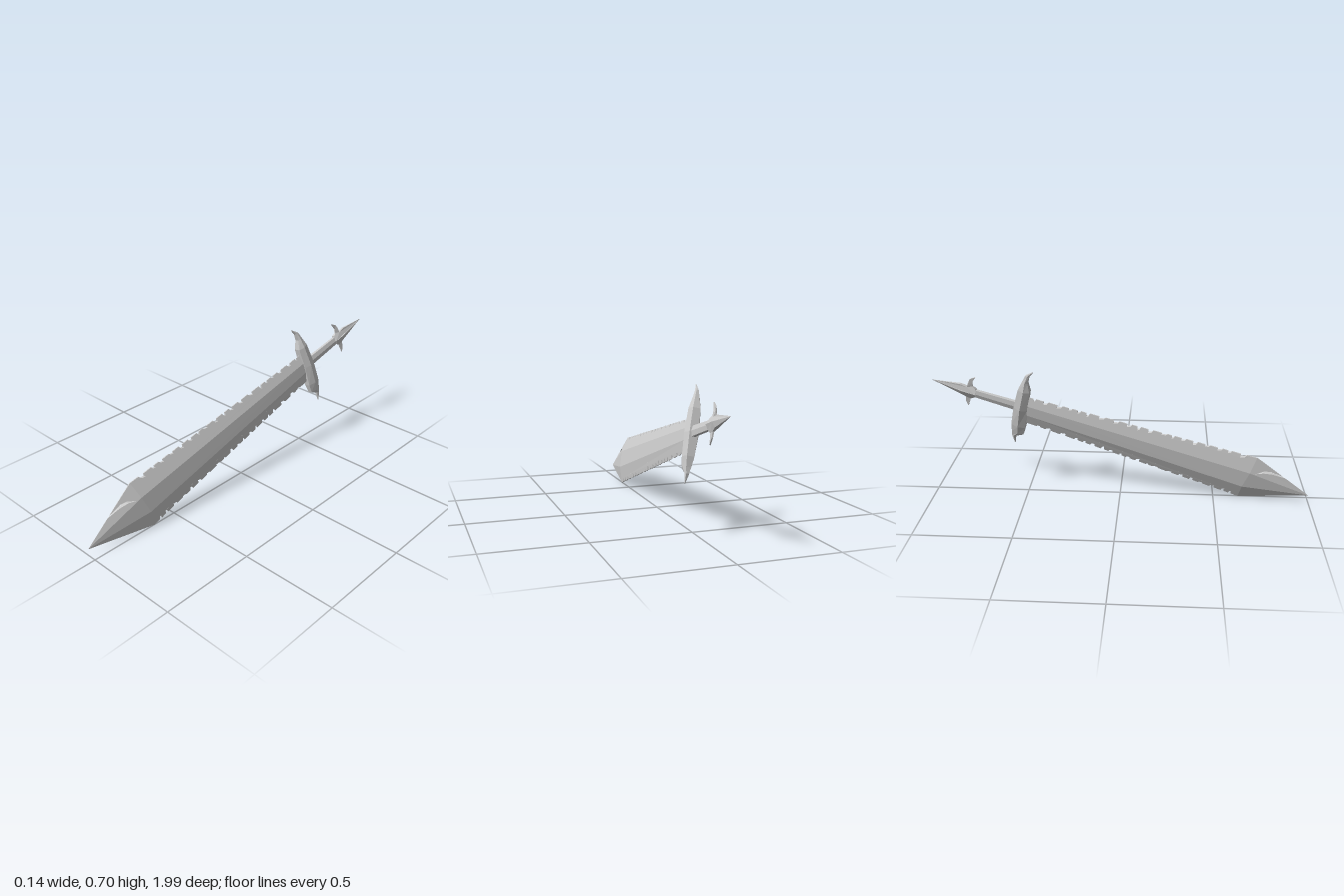
import * as THREE from 'three';

const material = new THREE.MeshStandardMaterial({ color: 0xcccccc, flatShading: true });

// The sword lies in a tilted plane: (z, y) is a point of that plane, w the offset along its normal
const N = new THREE.Vector3(1, 0.212, 0.102).normalize();
const place = (z, y, w) => [0.065 - 0.102 * z - 0.212 * y + N.x * w, y + N.y * w, z + N.z * w];

function meshFrom(name, triangles) {
  const g = new THREE.BufferGeometry();
  g.setAttribute('position', new THREE.Float32BufferAttribute(triangles.flat(2), 3));
  g.computeVertexNormals();
  const m = new THREE.Mesh(g, material);
  m.name = name;
  return m;
}

// Two mirrored faces over an outline of [z, y] points, at height(z, y) either side of the mid plane;
// the first `walls` outline segments are closed by rim faces
function plate(name, outline, height, walls = 0) {
  const top = outline.map(([z, y]) => place(z, y, height(z, y)));
  const low = outline.map(([z, y]) => place(z, y, -height(z, y)));
  const flat = outline.map(([z, y]) => new THREE.Vector2(-z, y));
  const tris = [];
  for (const [a, b, c] of THREE.ShapeUtils.triangulateShape(flat, [])) {
    tris.push([top[a], top[b], top[c]], [low[a], low[c], low[b]]);
  }
  for (let i = 0; i < walls; i++) {
    const j = (i + 1) % outline.length;
    tris.push([top[i], low[i], low[j]], [top[i], low[j], top[j]]);
  }
  return meshFrom(name, tris);
}

// Six-sided loft; stations are [z, y, halfWidth, halfThickness], dir is the width direction in the plane
const HEX = [[1, 0], [0.6, 1], [-0.6, 1], [-1, 0], [-0.6, -1], [0.6, -1]];
function loft(name, stations, dir) {
  const rings = stations.map(([z, y, a, b]) =>
    HEX.map(([w, p]) => place(z + dir[0] * p * a, y + dir[1] * p * a, w * b)));
  const tris = [];
  for (let i = 0; i < rings.length - 1; i++) {
    for (let j = 0; j < 6; j++) {
      const k = (j + 1) % 6, r = rings[i], s = rings[i + 1];
      tris.push([r[j], r[k], s[k]], [r[j], s[k], s[j]]);
    }
  }
  return meshFrom(name, tris);
}

const lineY = ([p, q], z) => p[1] + (q[1] - p[1]) * (z - p[0]) / (q[0] - p[0]);

// Chipped edge from p to q, the notches cut inwards along y
function chipped(p, q, inward, seed) {
  const random = () => (seed = (seed * 16807) % 2147483647) / 2147483647;
  const length = Math.hypot(q[0] - p[0], q[1] - p[1]);
  const at = (s, d) => [
    p[0] + (q[0] - p[0]) * s / length,
    p[1] + (q[1] - p[1]) * s / length + inward * d];
  const points = [p];
  let s = 0.02;
  while (s < length - 0.1) {
    const L = 0.035 + 0.05 * random(), d = 0.01 + 0.014 * random();
    points.push(at(s, 0), at(s + 0.6 * L, 0.002), at(s + 0.56 * L, d), at(s + 0.85 * L, 0.7 * d));
    s += L;
  }
  points.push(at(s, 0), q);
  return points;
}

function buildBlade() {
  const blade = new THREE.Group();
  blade.name = 'blade';

  // Corners: point, upper and lower shoulders, ridges, and their ends inside the guard
  const tip = [1, 0.04];
  const upper = [0.715, 0.262], upperEnd = [-0.49, 0.55];
  const lower = [0.634, 0.003], lowerEnd = [-0.52, 0.395];
  const ridgeUp = [0.685, 0.18], ridgeUpEnd = [-0.505, 0.505];
  const ridgeLow = [0.65, 0.09], ridgeLowEnd = [-0.512, 0.45];

  // Half thickness at the ridges, thinning to the edges on the bevels
  const thick = z => z > 0.68
    ? 0.03 * Math.max(0, 1 - z) / 0.32
    : 0.016 + 0.014 * (z + 0.5) / 1.18;
  const bevel = (edge, ridge) => (z, y) => {
    const e = lineY(edge, z), r = lineY(ridge, z);
    const t = Math.abs(e - r) < 1e-5 ? 0 : THREE.MathUtils.clamp((e - y) / (e - r), 0, 1);
    return thick(z) * (0.1 + 0.9 * t);
  };

  // Chipped bevels
  const top = chipped(upperEnd, upper, -1, 71);
  const bottom = chipped(lower, lowerEnd, 1, 523);
  blade.add(plate('upperBevel', [...top, ridgeUp, ridgeUpEnd],
    bevel([upper, upperEnd], [ridgeUp, ridgeUpEnd]), top.length - 1));
  blade.add(plate('lowerBevel', [...bottom, ridgeLowEnd, ridgeLow],
    bevel([lower, lowerEnd], [ridgeLow, ridgeLowEnd]), bottom.length - 1));

  // Pointed end, with a curved crack running in from its upper edge
  const crack = [[0.855, 0.153], [0.79, 0.183], [0.757, 0.187], [0.713, 0.174],
    [0.755, 0.176], [0.8, 0.167], [0.868, 0.143]];
  blade.add(plate('upperPointBevel', [upper, ...crack, tip, ridgeUp],
    bevel([upper, tip], [ridgeUp, tip]), crack.length + 1));
  blade.add(plate('lowerPointBevel', [tip, lower, ridgeLow],
    bevel([lower, tip], [ridgeLow, tip]), 1));

  // Flat between the ridges
  blade.add(plate('bladeFlat', [ridgeUpEnd, ridgeUp, ridgeLow, ridgeLowEnd], thick));
  blade.add(plate('pointFlat', [ridgeUp, tip, ridgeLow], thick));
  return blade;
}

function buildPommel() {
  const pommel = new THREE.Group();
  pommel.name = 'pommel';
  const base = [-0.755, 0.552], end = [-0.988, 0.621], mid = [-0.83, 0.574];
  // Thickest on the centre line, thinning to the prongs and the spike
  const height = (z, y) => {
    const along = THREE.MathUtils.clamp((z + 0.988) / 0.158, 0, 1);
    return 0.021 * along * Math.max(0.15, 1 - Math.abs(y - lineY([base, end], z)) / 0.045);
  };
  // Upper prong and spike half, then the lower ones
  const up = [end, [-0.835, 0.606], [-0.8, 0.592], [-0.792, 0.617], [-0.78, 0.637],
    [-0.747, 0.65], [-0.77, 0.617], [-0.77, 0.594], [-0.755, 0.58], base];
  const down = [base, [-0.765, 0.532], [-0.79, 0.52], [-0.798, 0.5], [-0.808, 0.474],
    [-0.818, 0.505], [-0.815, 0.533], [-0.845, 0.553], end];
  pommel.add(plate('upperProng', [...up, mid], height, up.length - 1));
  pommel.add(plate('lowerProng', [...down, mid], height, down.length - 1));
  return pommel;
}

export function createModel() {
  const sword = new THREE.Group();
  sword.name = 'sword';
  sword.add(buildBlade());

  // Guard: a thick bar ending in opposite hooks
  sword.add(loft('guard', [
    [-0.575, 0.258, 0.002, 0.002],
    [-0.576, 0.305, 0.011, 0.011],
    [-0.552, 0.327, 0.032, 0.02],
    [-0.543, 0.375, 0.038, 0.03],
    [-0.522, 0.482, 0.036, 0.036],
    [-0.495, 0.589, 0.031, 0.03],
    [-0.486, 0.637, 0.015, 0.018],
    [-0.472, 0.672, 0.011, 0.009],
    [-0.44, 0.697, 0.002, 0.002],
  ], [-0.96, 0.28]));

  // Grip
  sword.add(loft('grip', [
    [-0.8, 0.563, 0.02, 0.012],
    [-0.53, 0.488, 0.025, 0.015],
  ], [0.28, 0.96]));

  sword.add(buildPommel());
  return sword;
}
